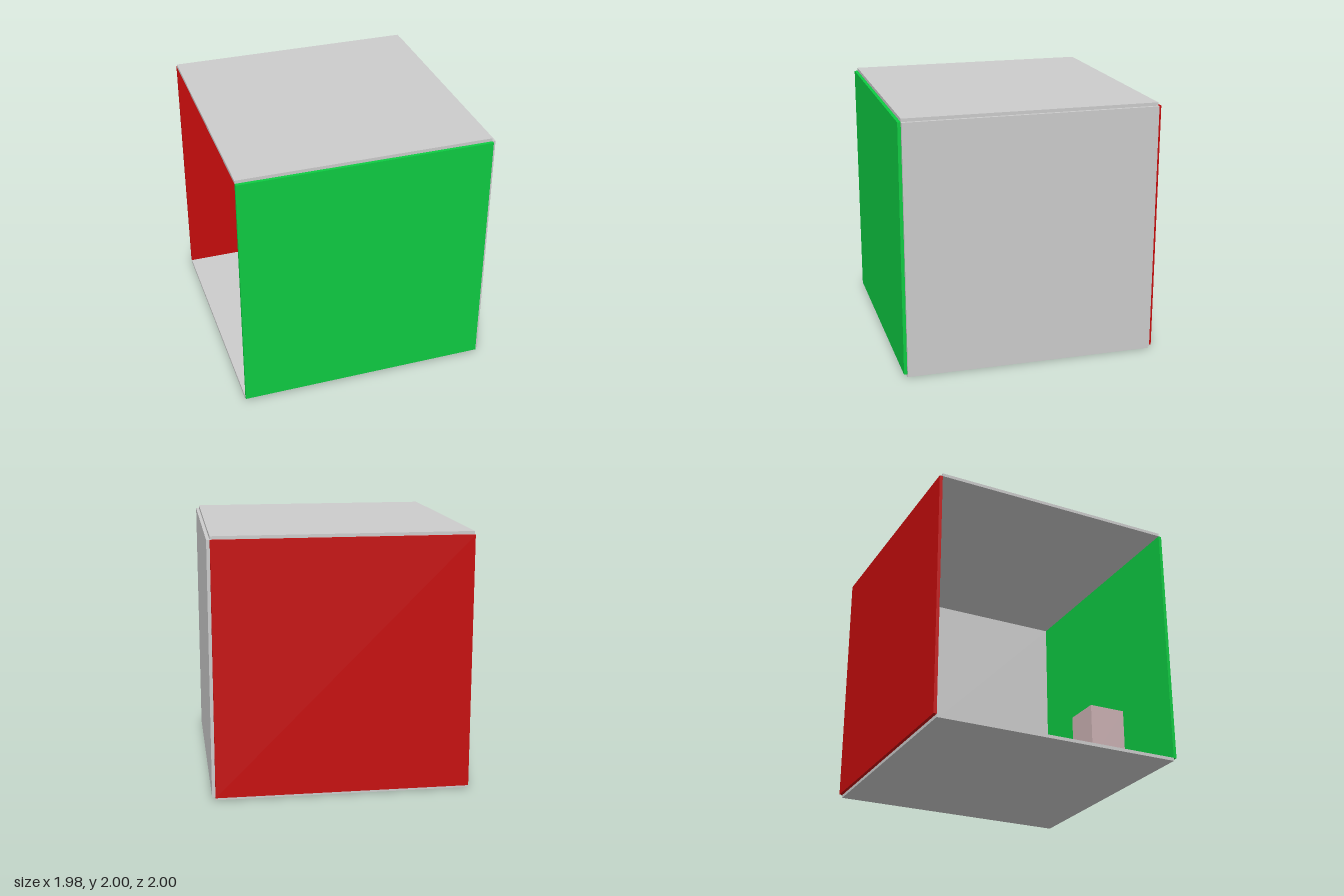
import * as THREE from 'three';

const INNER = 1.95; // clear inside size of the room
const T = 0.025;    // panel thickness

export function createModel() {
  const group = new THREE.Group();
  group.name = 'openRoom';

  const paint = (name, color) => {
    const m = new THREE.MeshStandardMaterial({ color });
    m.name = name;
    return m;
  };
  const grey = paint('light grey', 0xcccccc);
  const green = paint('green', 0x0ecc42);
  const red = paint('red', 0xc60c0c);
  const pink = paint('dusty pink', 0xccb2b4);

  const box = (name, material, size, position) => {
    const mesh = new THREE.Mesh(new THREE.BoxGeometry(...size), material);
    mesh.name = name;
    mesh.position.set(...position);
    group.add(mesh);
  };

  const cx = -T / 2;            // room centre, offset by the single side wall
  const cy = T + INNER / 2;
  const off = (INNER + T) / 2;  // panel centre from room centre

  // Floor and ceiling
  box('floor', grey, [INNER, T, INNER], [cx, cy - off, 0]);
  box('ceiling', grey, [INNER, T, INNER], [cx, cy + off, 0]);

  // Three walls; the -x side stays open
  box('frontWall', green, [INNER, INNER, T], [cx, cy, off]);
  box('backWall', red, [INNER, INNER, T], [cx, cy, -off]);
  box('leftWall', grey, [T, INNER, INNER], [cx + off, cy, 0]);

  // Block standing on the floor near the opening
  const h = 0.44;
  box('block', pink, [0.29, h, 0.29], [-0.56, T + h / 2, 0.58]);

  return group;
}
